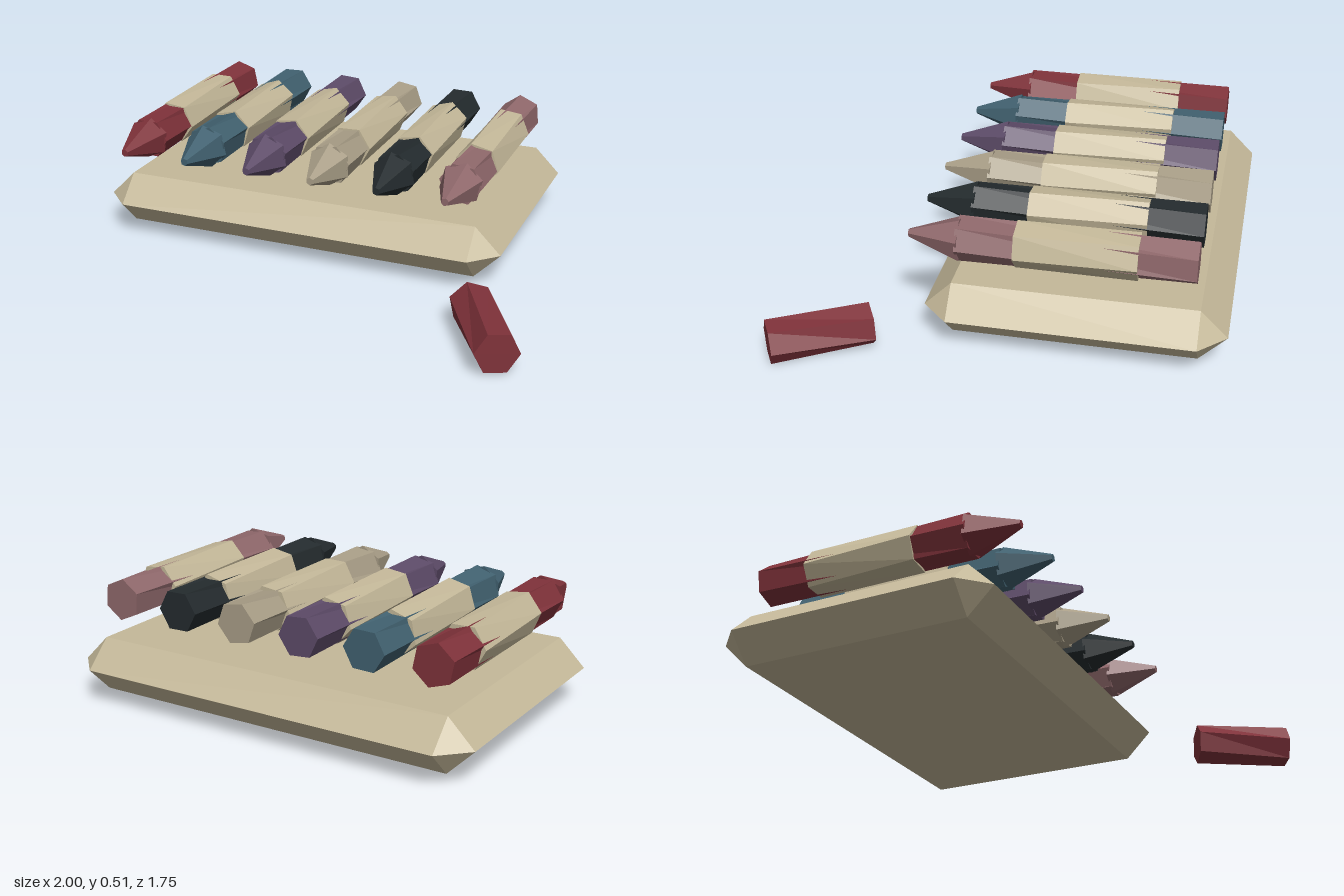
import * as THREE from 'three';
import { ConvexGeometry } from 'three/addons/geometries/ConvexGeometry.js';

const RED = 0x7f323a, TAN = 0xc4b899;
const mat = (color) => new THREE.MeshStandardMaterial({ color, flatShading: true });

function add(parent, name, geometry, material) {
  const mesh = new THREE.Mesh(geometry, material);
  mesh.name = name;
  parent.add(mesh);
  return mesh;
}

// Six-sided prism along z from z0 to z1, turned by phase and twisted along its length
function hexPrism(rBack, rFront, z0, z1, phase = 0, twist = 0) {
  const g = new THREE.CylinderGeometry(rFront, rBack, z1 - z0, 6).rotateX(Math.PI / 2);
  g.translate(0, 0, (z0 + z1) / 2);
  const p = g.attributes.position;
  const v = new THREE.Vector3(), axis = new THREE.Vector3(0, 0, 1);
  for (let i = 0; i < p.count; i++) {
    v.fromBufferAttribute(p, i);
    v.applyAxisAngle(axis, phase + twist * (v.z - z0) / (z1 - z0));
    p.setXYZ(i, v.x, v.y, v.z);
  }
  g.computeVertexNormals();
  return g;
}

// Box whose edges are chamfered so far that the side faces shrink to a line
function chamferedBox(w, h, d) {
  const c = h / 2, points = [];
  for (const sx of [-1, 1]) for (const sz of [-1, 1]) {
    const x = sx * (w / 2 - c), z = sz * (d / 2 - c);
    points.push(
      new THREE.Vector3(x, c, z), new THREE.Vector3(x, -c, z),
      new THREE.Vector3(sx * w / 2, 0, z), new THREE.Vector3(x, 0, sz * d / 2));
  }
  return new ConvexGeometry(points);
}

export function createModel() {
  const model = new THREE.Group();
  model.name = 'crayonSet';
  const labelMat = mat(TAN);

  // Box under the crayons
  add(model, 'box', chamferedBox(1.75, 0.216, 1.17), labelMat).position.set(-0.125, 0.15, -0.295);

  // Row of crayons: colour, turn about the long axis
  const crayons = [
    [RED, 0.2], [0x416170, 0.55], [0x5d4b68, 0.45],
    [0xa99e87, 0.35], [0x242b2e, 0.5], [0x8f686b, 0.1],
  ];
  crayons.forEach(([color, phase], i) => {
    const crayon = new THREE.Group();
    crayon.name = 'crayon' + (i + 1);
    crayon.position.set(-0.82 + i * 0.278, 0.42, 0);
    const wax = mat(color);
    add(crayon, 'body', hexPrism(0.086, 0.088, -0.75, 0.165, phase, 0.3), wax);
    add(crayon, 'tip', hexPrism(0.091, 0.016, 0.155, 0.36, phase + 0.7), wax);
    add(crayon, 'paperLabel', hexPrism(0.092, 0.092, -0.53, -0.06, phase + 0.3, -0.1), labelMat);
    model.add(crayon);
  });

  // Broken piece lying in front of the box
  const piece = add(model, 'brokenPiece', hexPrism(0.086, 0.086, -0.2, 0.2, 0.2, 0.25), mat(RED));
  piece.rotation.y = 0.53;
  piece.position.set(0.823, 0.088, 0.657);
  return model;
}
